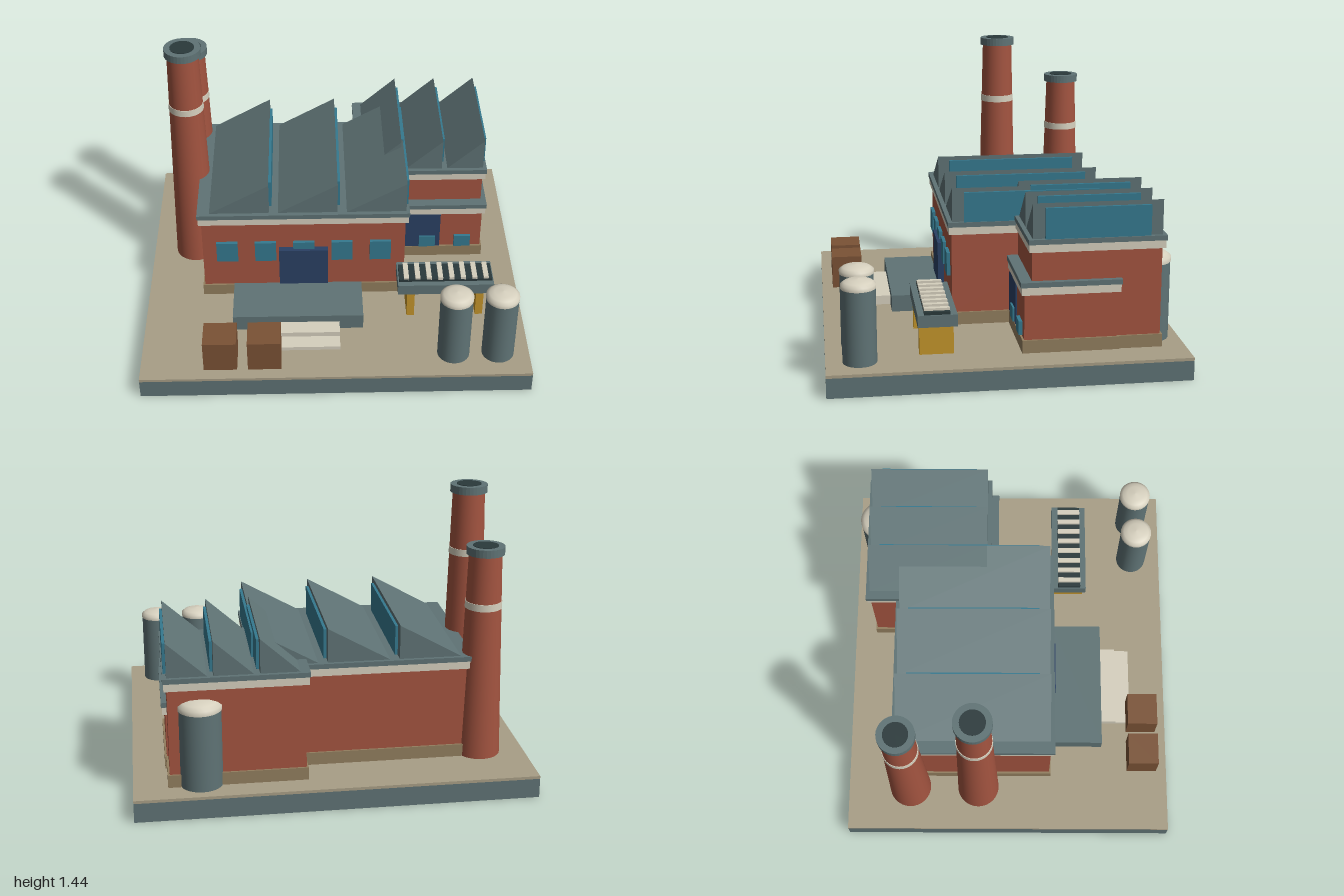
import * as THREE from 'three';

const mat = (color, extra = {}) => Object.assign(new THREE.MeshStandardMaterial(extra), { color: new THREE.Color(color) });
const M = {
  brick: mat(0xa35440), slate: mat(0x5f7375), cream: mat(0xd6d0be), glass: mat(0x35798f),
  navy: mat(0x2a4064), sand: mat(0xa89e86), plinth: mat(0x927e5e), wood: mat(0x7a5235),
  yellow: mat(0xc4952b), dark: mat(0x2a393b),
};
const GROUND = 0.115;

export function createModel() {
  const root = new THREE.Group();
  root.name = 'factory';

  const group = (name) => {
    const g = new THREE.Group();
    g.name = name;
    root.add(g);
    return g;
  };
  const add = (parent, name, geo, material, x = 0, y = 0, z = 0) => {
    const m = new THREE.Mesh(geo, material);
    m.name = name;
    m.position.set(x, y, z);
    parent.add(m);
    return m;
  };
  // Box given by its limits on each axis
  const box = (parent, name, material, x0, x1, y0, y1, z0, z1) =>
    add(parent, name, new THREE.BoxGeometry(x1 - x0, y1 - y0, z1 - z0), material,
      (x0 + x1) / 2, (y0 + y1) / 2, (z0 + z1) / 2);

  // Ground slab
  const base = group('base');
  box(base, 'foundation', M.slate, -1, 1, 0, 0.1, -0.88, 0.88);
  box(base, 'yard', M.sand, -1, 1, 0.1, GROUND, -0.88, 0.88);

  // Brick block with plinth, cornice and roof slab; top is the roof height
  const block = (name, x0, x1, z0, z1, top) => {
    const g = group(name);
    const layer = (part, material, y0, y1, o) =>
      box(g, part, material, x0 - o, x1 + o, y0, y1, z0 - o, z1 + o);
    layer('plinth', M.plinth, GROUND, 0.18, 0.01);
    layer('walls', M.brick, 0.18, top - 0.06, 0);
    layer('cornice', M.cream, top - 0.065, top - 0.025, 0.015);
    layer('roofSlab', M.slate, top - 0.025, top, 0.02);
    return g;
  };

  // Saw-tooth roof light: slope rising towards +x, glazed upright side
  const tooth = (parent, x0, x1, y0, y1, z0, z1) => {
    const s = new THREE.Shape();
    s.moveTo(x0, y0);
    s.lineTo(x1, y0);
    s.lineTo(x1, y1);
    s.closePath();
    const geo = new THREE.ExtrudeGeometry(s, { depth: z1 - z0, bevelEnabled: false });
    add(parent, 'sawTooth', geo, M.slate, 0, 0, z0);
    box(parent, 'roofGlazing', M.glass, x1, x1 + 0.014, y0, y1 - 0.022, z0 + 0.06, z1 - 0.06);
  };

  // Main hall
  const hall = block('mainHall', -0.695, 0.38, -0.59, 0.225, 0.66);
  for (let i = 0; i < 3; i++) {
    const x = -0.65 + i * 0.36;
    tooth(hall, x, x + 0.312, 0.66, 0.835, -0.59, 0.222);
  }
  for (let i = 0; i < 5; i++) {
    const x = -0.565 + i * 0.2035;
    box(hall, 'window', M.glass, x - 0.056, x + 0.056, 0.352, 0.473, 0.22, 0.243);
  }
  box(hall, 'loadingDoor', M.navy, -0.29, -0.03, GROUND, 0.43, 0.22, 0.258);

  // Taller side wing
  const wing = block('sideWing', 0.15, 0.82, -0.752, -0.115, 0.685);
  for (let i = 0; i < 3; i++) {
    const x = 0.178 + i * 0.224;
    tooth(wing, x, x + 0.194, 0.685, 0.86, -0.752, -0.117);
  }

  // Low annex wrapped around the wing's front corner
  const annex = block('lowAnnex', 0.4, 0.828, -0.535, -0.078, 0.475);
  box(annex, 'annexDoor', M.navy, 0.385, 0.6, 0.18, 0.41, -0.085, -0.07);
  for (const x of [0.53, 0.725])
    box(annex, 'annexWindow', M.glass, x - 0.045, x + 0.045, 0.185, 0.255, -0.085, -0.06);

  // Chimneys: tapered shaft, painted band, hollow cap
  const chimney = (z, top, bandY) => {
    const g = group('chimney');
    g.position.set(-0.765, 0, z);
    const y1 = top - 0.035, r0 = 0.112, r1 = 0.082;
    const radius = (y) => r0 + (r1 - r0) * (y - GROUND) / (y1 - GROUND);
    add(g, 'shaft', new THREE.CylinderGeometry(r1, r0, y1 - GROUND, 32), M.brick, 0, (y1 + GROUND) / 2, 0);
    add(g, 'band', new THREE.CylinderGeometry(radius(bandY + 0.018) + 0.003, radius(bandY - 0.018) + 0.003, 0.036, 32),
      M.cream, 0, bandY, 0);
    const ring = new THREE.Shape().absarc(0, 0, 0.095, 0, Math.PI * 2);
    ring.holes.push(new THREE.Path().absarc(0, 0, 0.062, 0, Math.PI * 2, true));
    const cap = new THREE.ExtrudeGeometry(ring, { depth: 0.04, bevelEnabled: false, curveSegments: 16 });
    add(g, 'cap', cap.rotateX(-Math.PI / 2), M.slate, 0, top - 0.04, 0);
    add(g, 'flue', new THREE.CylinderGeometry(0.063, 0.063, 0.035, 32), M.dark, 0, top - 0.015, 0);
  };
  chimney(-0.165, 1.435, 1.088);
  chimney(-0.54, 1.215, 0.917);

  // Storage tanks with a shallow domed lid
  const tank = (x, z, r, h) => {
    const g = group('tank');
    g.position.set(x, 0, z);
    add(g, 'tankBody', new THREE.CylinderGeometry(r, r, h - GROUND, 28), M.slate, 0, (h + GROUND) / 2, 0);
    const k = r / 0.085;
    const lid = [[0.087, -0.015], [0.087, 0.005], [0.07, 0.018], [0.045, 0.027], [0, 0.032]]
      .map(([a, b]) => new THREE.Vector2(a * k, b * k));
    add(g, 'tankLid', new THREE.LatheGeometry(lid, 28), M.cream, 0, h, 0);
  };
  tank(0.608, 0.715, 0.083, 0.5);
  tank(0.838, 0.715, 0.083, 0.5);
  tank(0.665, -0.725, 0.107, 0.53);

  // Loading dock and steps
  const dock = group('loadingDock');
  box(dock, 'platform', M.slate, -0.535, 0.15, GROUND, 0.203, 0.25, 0.52);
  box(dock, 'upperStep', M.cream, -0.4, 0.025, GROUND, 0.163, 0.52, 0.602);
  box(dock, 'lowerStep', M.cream, -0.4, 0.025, GROUND, 0.136, 0.602, 0.682);

  // Conveyor on two legs
  const conveyor = group('conveyor');
  for (const x of [0.405, 0.77])
    box(conveyor, 'conveyorLeg', M.yellow, x - 0.02, x + 0.02, GROUND, 0.27, 0.26, 0.427);
  box(conveyor, 'conveyorBed', M.slate, 0.335, 0.84, 0.27, 0.33, 0.245, 0.437);
  box(conveyor, 'belt', M.dark, 0.342, 0.833, 0.33, 0.345, 0.28, 0.405);
  for (let i = 0; i < 8; i++) {
    const x = 0.38 + i * 0.06;
    box(conveyor, 'slat', M.cream, x - 0.013, x + 0.013, 0.34, 0.357, 0.28, 0.405);
  }

  // Crates in the yard
  const crates = group('crates');
  for (const x of [-0.59, -0.365])
    box(crates, 'crate', M.wood, x - 0.085, x + 0.085, GROUND + 0.005, 0.295, 0.66, 0.822);

  return root;
}
